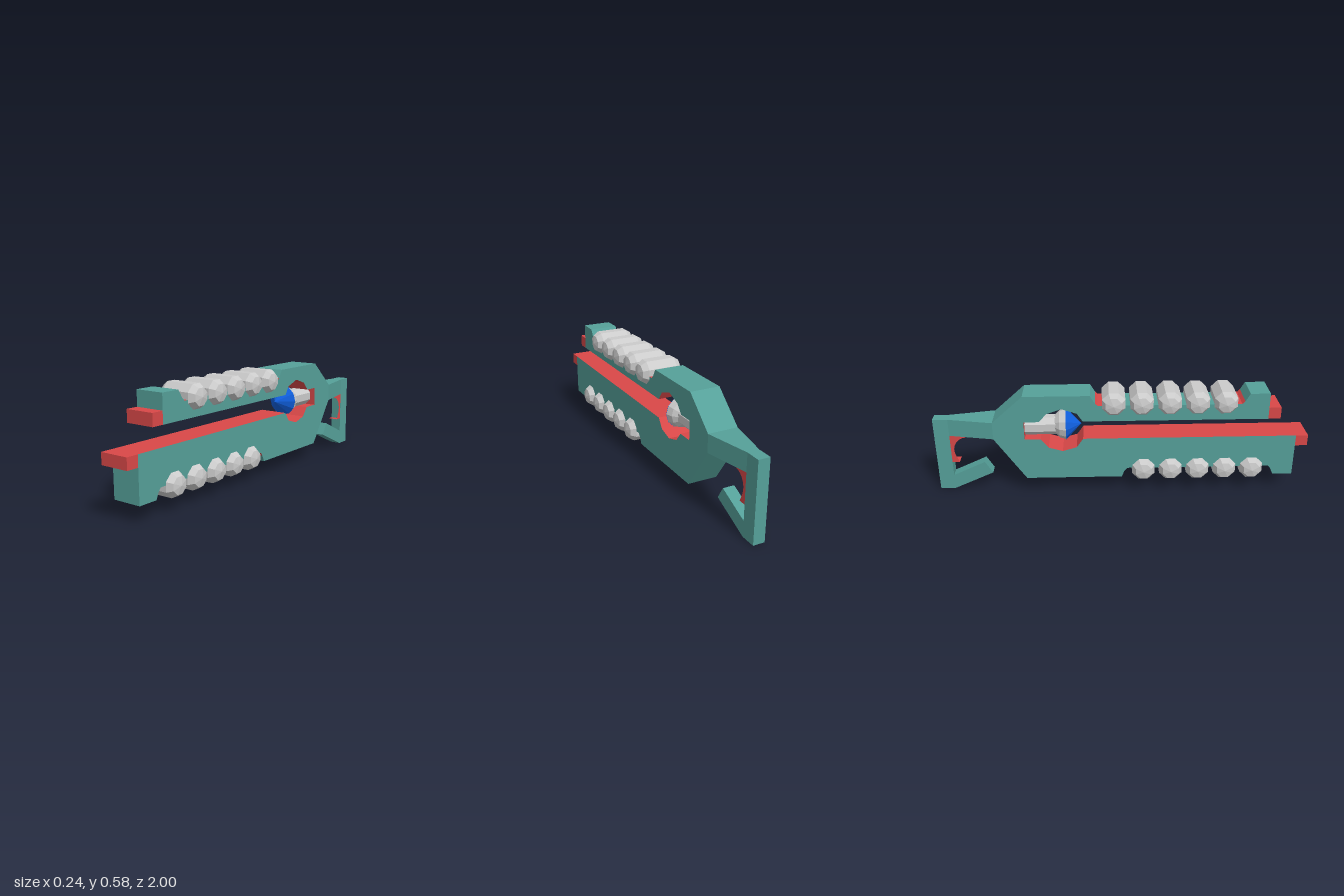
import * as THREE from 'three';

const mat = (color) => new THREE.MeshStandardMaterial({ color, flatShading: true });
const TEAL = mat(0x55a099), RED = mat(0xd94848), BLUE = mat(0x1060e0), GREY = mat(0xcccccc);
const W = 0.08; // half the thickness of the body

// Prism from a counter-clockwise (z, y) outline; half-width may vary with z.
// A third entry of 1 marks the edge that starts at that point as lined in red.
function prism(name, pts, material, halfWidth = () => W) {
  const main = [], lining = [];
  const v = (i, s) => [s * halfWidth(pts[i][0]), pts[i][1], pts[i][0]];
  const tri = (out, a, b, c) => out.push(...a, ...b, ...c);
  const flat = pts.map(([z, y]) => new THREE.Vector2(z, y));
  for (const [i, j, k] of THREE.ShapeUtils.triangulateShape(flat, [])) {
    tri(main, v(i, -1), v(j, -1), v(k, -1));
    tri(main, v(i, 1), v(k, 1), v(j, 1));
  }
  pts.forEach((p, i) => {
    const j = (i + 1) % pts.length, out = p[2] ? lining : main;
    tri(out, v(i, 1), v(j, 1), v(j, -1));
    tri(out, v(i, 1), v(j, -1), v(i, -1));
  });
  const group = new THREE.Group();
  group.name = name;
  const add = (data, m, label) => {
    if (!data.length) return;
    const g = new THREE.BufferGeometry();
    g.setAttribute('position', new THREE.Float32BufferAttribute(data, 3));
    g.computeVertexNormals();
    const mesh = new THREE.Mesh(g, m);
    mesh.name = label;
    group.add(mesh);
  };
  add(main, material, name + 'Shell');
  add(lining, RED, name + 'Lining');
  return group;
}

function part(name, geometry, material, x, y, z) {
  const mesh = new THREE.Mesh(geometry, material);
  mesh.name = name;
  mesh.position.set(x, y, z);
  return mesh;
}

const lathe = (pts, sides, phase = 0) =>
  new THREE.LatheGeometry(pts.map(([r, y]) => new THREE.Vector2(r, y)), sides, phase);

export function createModel() {
  const model = new THREE.Group();

  // Forked body: two jaws with a red-lined slot and round chamber
  model.add(prism('body', [
    [0.935, 0.085], [0.935, 0.32, 1],
    [-0.205, 0.32, 1], [-0.24, 0.27, 1], [-0.315, 0.248, 1], [-0.39, 0.27, 1], [-0.43, 0.32, 1],
    [-0.515, 0.32, 1], [-0.515, 0.422, 1],
    [-0.435, 0.422, 1], [-0.395, 0.467, 1], [-0.315, 0.495, 1], [-0.235, 0.467, 1], [-0.205, 0.422, 1],
    [0.775, 0.422], [0.775, 0.567], [0.67, 0.567], [0.645, 0.525, 1], [0.63, 0.51, 1],
    [0.6, 0.51], [-0.09, 0.51, 1], [-0.125, 0.51, 1], [-0.14, 0.525], [-0.165, 0.567],
    [-0.515, 0.567], [-0.68, 0.42], [-0.68, 0.325], [-0.515, 0.085],
    [0, 0.085], [0.015, 0.12, 1], [0.03, 0.138, 1], [0.06, 0.138],
    [0.765, 0.138, 1], [0.8, 0.138, 1], [0.815, 0.12], [0.83, 0.085],
  ], TEAL));

  // Tapering arm and the rear hook
  const taper = (z) => THREE.MathUtils.mapLinear(z, -0.68, -0.92, W, 0.031);
  model.add(prism('arm', [[-0.68, 0.325], [-0.68, 0.42], [-0.92, 0.42], [-0.92, 0.325]], TEAL, taper));
  model.add(prism('hook', [
    [-0.92, 0.42], [-1, 0.42], [-1, 0], [-0.92, 0], [-0.705, 0.095],
    [-0.745, 0.162], [-0.92, 0.083],
  ], TEAL, () => 0.031));

  // Curved red pad inside the hook
  const pad = [[-0.92, 0.325], [-0.92, 0.165], [-0.88, 0.165]];
  for (let i = 1; i <= 8; i++) {
    const a = THREE.MathUtils.lerp(-0.75, 1.5, i / 8);
    pad.push([-0.83 - 0.073 * Math.cos(a), 0.237 + 0.076 * Math.sin(a)]);
  }
  pad.push([-0.83, 0.325]);
  model.add(prism('hookPad', pad.reverse(), RED, () => 0.03));

  // Red end blocks of the two jaws
  model.add(part('upperTip', new THREE.BoxGeometry(2 * W, 0.064, 0.065), RED, 0, 0.454, 0.8075));
  model.add(part('lowerTip', new THREE.BoxGeometry(2 * W, 0.06, 0.065), RED, 0, 0.29, 0.9675));

  // Faceted grip rollers along both jaws
  const roller = lathe([[0, -0.12], [0.046, -0.11], [0.066, -W], [0.066, W], [0.046, 0.11], [0, 0.12]],
    8, Math.PI / 8).rotateZ(Math.PI / 2);
  for (let i = 0; i < 5; i++) {
    model.add(part('upperRoller', roller, GREY, 0, 0.519, 0.546 - i * 0.147));
    model.add(part('lowerRoller', roller, GREY, 0, 0.129, 0.706 - i * 0.147));
  }

  // Emitter in the chamber: shaft, rounded base and blue cone
  const shaft = new THREE.CylinderGeometry(0.054, 0.054, 0.18, 8, 1, false, Math.PI / 8).rotateX(Math.PI / 2);
  model.add(part('emitterShaft', shaft, GREY, 0, 0.371, -0.425));
  const base = lathe([[0, -0.075], [0.045, -0.065], [0.074, -0.035], [0.085, 0], [0, 0]], 12).rotateX(Math.PI / 2);
  model.add(part('emitterBase', base, GREY, 0, 0.373, -0.295));
  const cone = new THREE.ConeGeometry(0.086, 0.08, 12).rotateX(Math.PI / 2);
  model.add(part('emitterCone', cone, BLUE, 0, 0.373, -0.255));

  return model;
}
